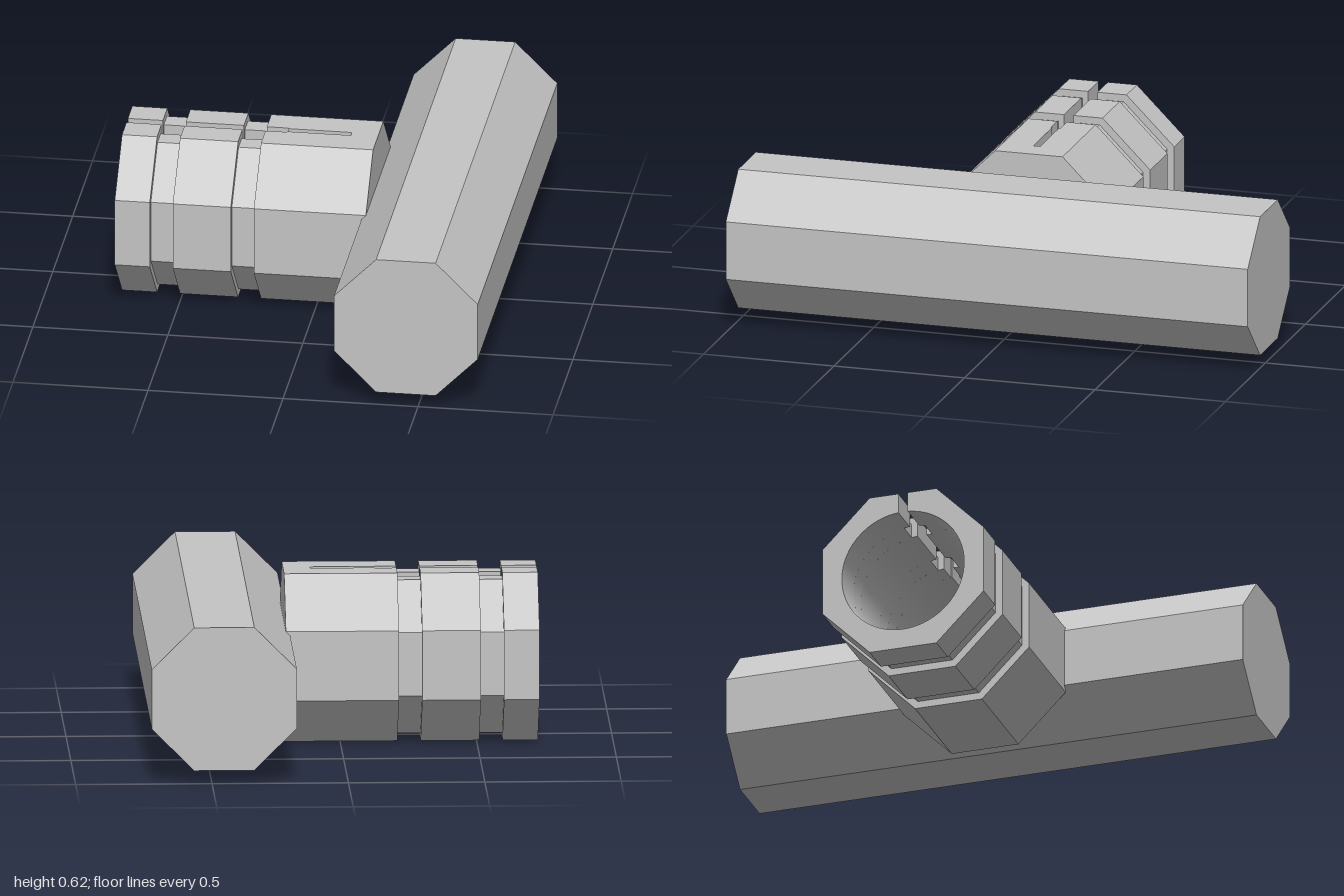
import * as THREE from 'three';
import { toCreasedNormals } from 'three/addons/utils/BufferGeometryUtils.js';

const BORE = 0.237;

// Octagon corners with flats facing up, down and sideways
function octagon(apothem) {
  const r = apothem / Math.cos(Math.PI / 8);
  return Array.from({ length: 8 }, (_, k) => {
    const a = Math.PI / 8 + k * Math.PI / 4;
    return new THREE.Vector2(r * Math.sin(a), r * Math.cos(a));
  });
}

// Octagonal collar with a round bore, split open along the top
function splitRing(apothem, halfSlot) {
  const pts = [new THREE.Vector2(halfSlot, apothem), ...octagon(apothem), new THREE.Vector2(-halfSlot, apothem)];
  const a0 = Math.asin(halfSlot / BORE);
  const steps = 56;
  for (let i = 0; i <= steps; i++) {
    const a = 2 * Math.PI - a0 - (i / steps) * (2 * Math.PI - 2 * a0);
    pts.push(new THREE.Vector2(BORE * Math.sin(a), BORE * Math.cos(a)));
  }
  return pts;
}

function prism(points, depth) {
  const geo = new THREE.ExtrudeGeometry(new THREE.Shape(points), { depth, bevelEnabled: false });
  return toCreasedNormals(geo, 0.4);
}

export function createModel() {
  const group = new THREE.Group();
  const grey = new THREE.MeshStandardMaterial({ color: 0xc4c4c4 });
  grey.name = 'plain grey';

  // Octagonal crossbar running front to back
  const bar = new THREE.Mesh(prism(octagon(0.266), 2), grey);
  bar.name = 'crossbar';
  bar.position.set(0.455, 0.315, -1);
  group.add(bar);

  // Socket sections along x: name, start, end, apothem, half slot width (0 = solid)
  const sections = [
    ['socketRim', -0.725, -0.595, 0.312, 0.018],
    ['outerGroove', -0.595, -0.51, 0.285, 0.04],
    ['socketBand', -0.51, -0.295, 0.312, 0.018],
    ['innerGroove', -0.295, -0.21, 0.285, 0.04],
    ['socketBody', -0.21, -0.13, 0.312, 0.018],
    ['socketBodyNarrowSlot', -0.13, 0.105, 0.312, 0.013],
    ['socketBase', 0.105, 0.205, 0.312, 0],
  ];
  const socket = new THREE.Group();
  socket.name = 'socket';
  for (const [name, x0, x1, apothem, slot] of sections) {
    const geo = prism(slot ? splitRing(apothem, slot) : octagon(apothem), x1 - x0);
    geo.rotateY(Math.PI / 2);
    const mesh = new THREE.Mesh(geo, grey);
    mesh.name = name;
    mesh.position.set(x0, 0.3125, -0.003);
    socket.add(mesh);
  }
  group.add(socket);
  return group;
}
